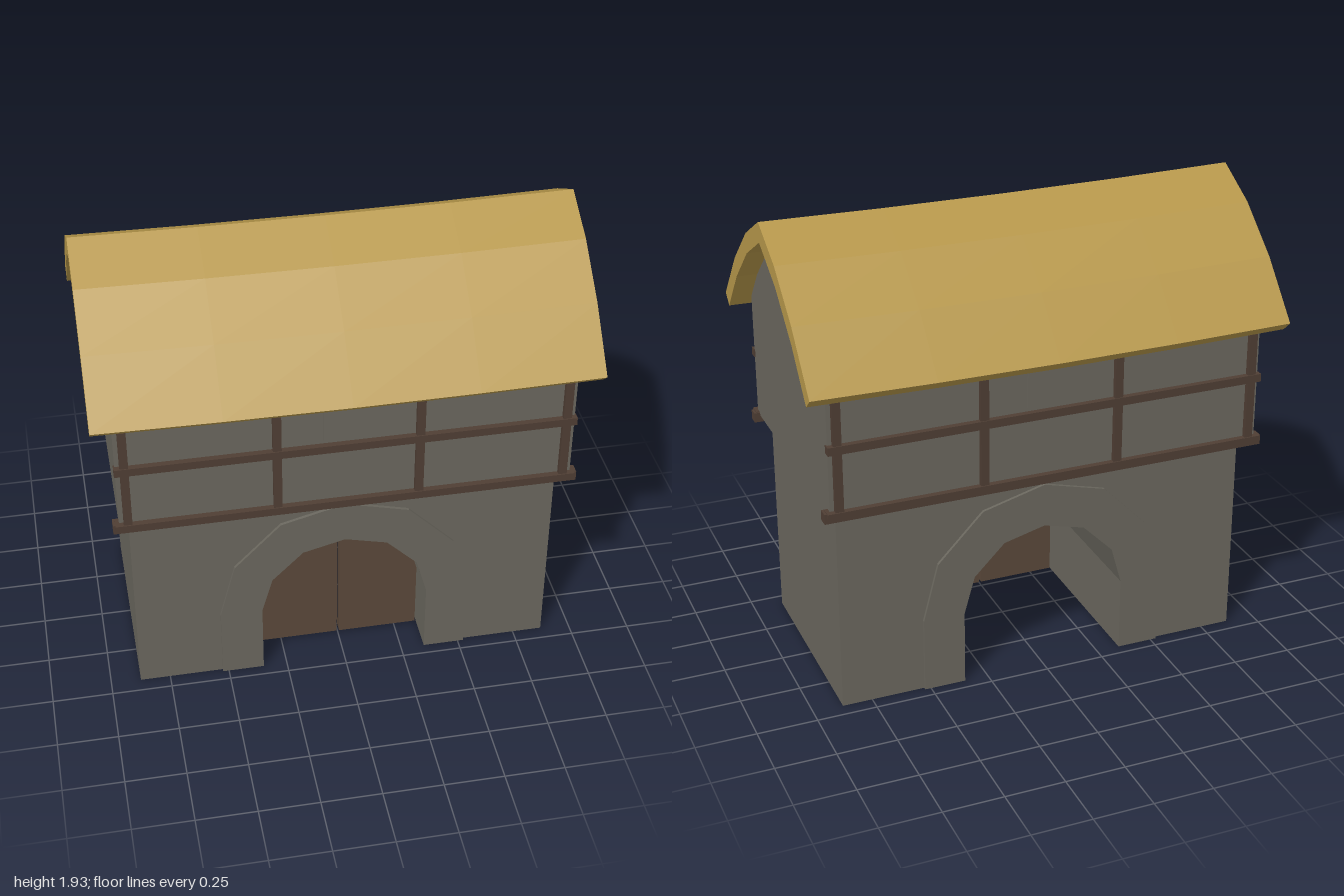
import * as THREE from 'three';

const mat = (name, color) => new THREE.MeshStandardMaterial({ name, color, flatShading: true });

// Mirrors a half outline [x, y] (bottom to the crown at x = 0) into a full one
const mirrored = (half) => [
  ...half,
  ...half.slice(0, -1).reverse().map(([x, y]) => [-x, y]),
];
const shapeOf = (pts) => new THREE.Shape(pts.map(([x, y]) => new THREE.Vector2(x, y)));

// Extrudes a shape, centred on z = 0
function slab(shape, depth, steps = 1) {
  const g = new THREE.ExtrudeGeometry(shape, { depth, steps, bevelEnabled: false });
  return g.translate(0, 0, -depth / 2);
}

export function createModel() {
  const root = new THREE.Group();
  root.name = 'gatehouse';
  const stone = mat('stone', 0x6a675e);
  const thatch = mat('thatch', 0xb6974a);
  const timber = mat('dark timber', 0x4f3e34);
  const doorWood = mat('door wood', 0x5a483a);

  const add = (name, geometry, material, x = 0, y = 0, z = 0) => {
    const m = new THREE.Mesh(geometry, material);
    m.name = name;
    m.position.set(x, y, z);
    root.add(m);
    return m;
  };
  const box = (name, material, w, h, d, x, y, z) =>
    add(name, new THREE.BoxGeometry(w, h, d), material, x, y, z);

  // Arch outlines
  const inner = [[0.35, 0], [0.35, 0.32], [0.305, 0.48], [0.175, 0.61], [0, 0.655]];
  const outer = [[0.525, 0], [0.525, 0.32], [0.46, 0.57], [0.265, 0.77], [0, 0.84]];
  const opening = mirrored(inner);

  // Lower storey with the passage cut through it
  const wall = [[0.875, 0], [0.875, 0.915], [-0.875, 0.915], [-0.875, 0]];
  add('lowerWalls', slab(shapeOf([...wall, ...opening.slice().reverse()]), 0.88), stone);

  // Raised arch surrounds on both faces
  const ring = shapeOf([...mirrored(outer), ...opening.slice().reverse()]);
  for (const s of [1, -1]) add('archSurround', slab(ring, 0.03), stone, 0, 0, s * 0.438);

  // Pair of door leaves set back inside the front of the passage
  const leaf = [[0.005, 0.01], [0.342, 0.01], [0.342, 0.317], [0.298, 0.475], [0.172, 0.605], [0.07, 0.637], [0.005, 0.637]];
  for (const s of [1, -1]) {
    const pts = leaf.map(([x, y]) => [s * x, y]);
    add('doorLeaf', slab(shapeOf(pts), 0.04), doorWood, 0, 0, 0.285);
  }

  // Upper storey with curved gables
  const gable = mirrored([[0.505, 0.91], [0.505, 1.44], [0.39, 1.575], [0.2, 1.74], [0, 1.85]]);
  add('upperWalls', slab(shapeOf(gable), 1.83).rotateY(Math.PI / 2), stone);

  // Timber framing and a shuttered window, front and back
  for (const s of [1, -1]) {
    box('sillBeam', timber, 1.88, 0.042, 0.045, 0, 0.901, s * 0.495);
    box('sillBoard', timber, 1.86, 0.02, 0.05, 0, 0.915, s * 0.505);
    box('middleRail', timber, 1.84, 0.034, 0.035, 0, 1.187, s * 0.512);
    for (const x of [-0.88, -0.285, 0.285, 0.88])
      box('post', timber, 0.034, 0.53, 0.03, x, 1.175, s * 0.51);
    box('windowShutter', stone, 0.2, 0.19, 0.012, 0, 1.315, s * 0.504);
  }

  // Thatched roof, faceted in section and sagging slightly at mid-length
  const top = mirrored([[0.595, 1.437], [0.4, 1.657], [0.2, 1.826], [0, 1.935]]);
  const under = mirrored([[0.548, 1.395], [0.39, 1.578], [0.2, 1.742], [0, 1.852]]);
  const roof = slab(shapeOf([...top, ...under.reverse()]), 2, 4).rotateY(Math.PI / 2);
  const p = roof.attributes.position;
  for (let i = 0; i < p.count; i++) p.setY(i, p.getY(i) - 0.011 * (1 - p.getX(i) ** 2));
  roof.computeVertexNormals();
  add('thatchedRoof', roof, thatch);

  return root;
}
